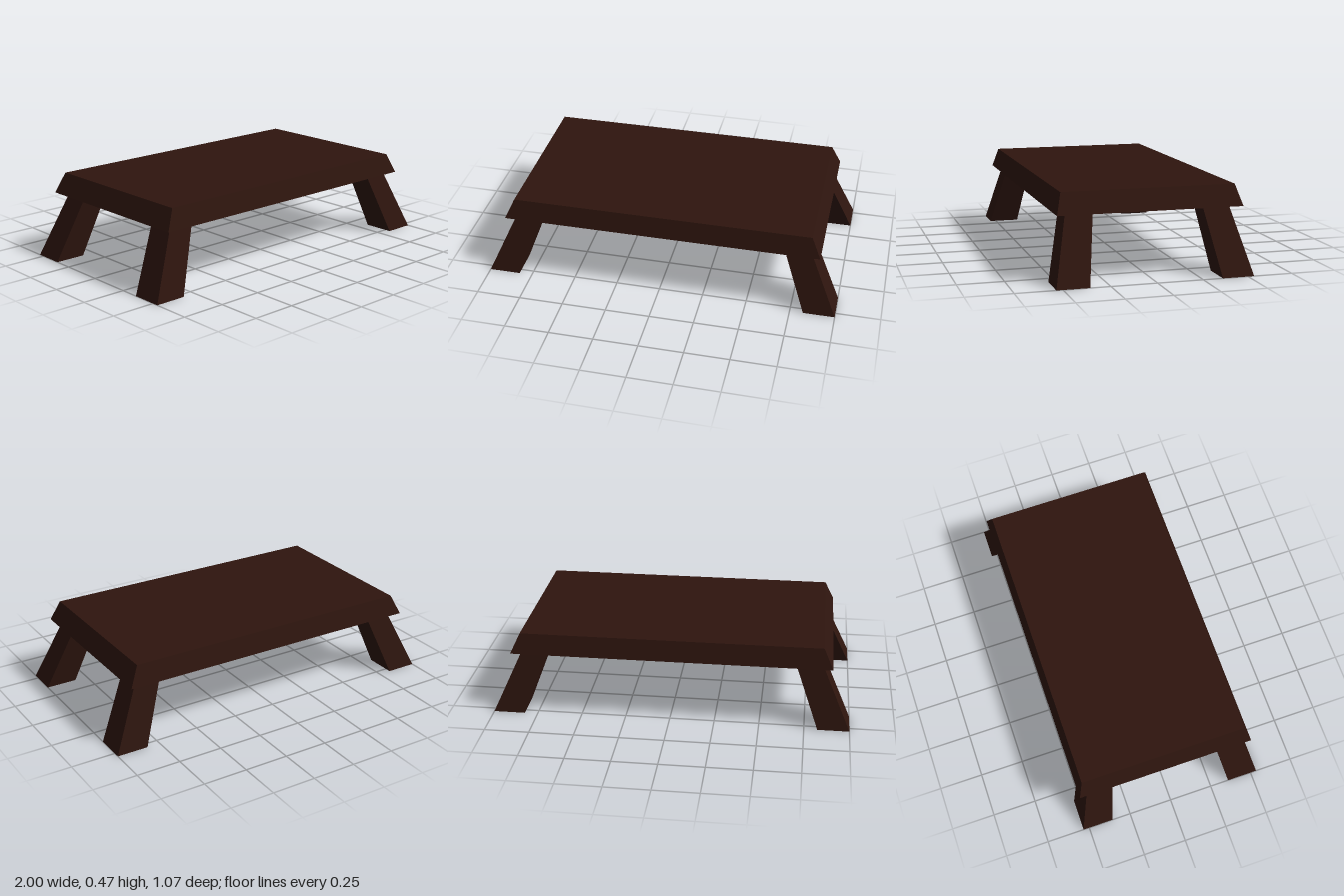
import * as THREE from 'three';

const wood = new THREE.MeshStandardMaterial({ color: 0x2e150e, flatShading: true });

// Straight-sided block between two horizontal rectangles: { x, y, z, w, d } = centre, height, width, depth
function taperedBlock(name, bottom, top) {
  const geometry = new THREE.BoxGeometry(1, 1, 1);
  const p = geometry.attributes.position;
  for (let i = 0; i < p.count; i++) {
    const end = p.getY(i) > 0 ? top : bottom;
    p.setXYZ(i, end.x + p.getX(i) * end.w, end.y, end.z + p.getZ(i) * end.d);
  }
  geometry.computeVertexNormals();
  const mesh = new THREE.Mesh(geometry, wood);
  mesh.name = name;
  return mesh;
}

export function createModel() {
  const table = new THREE.Group();
  table.name = 'lowTable';

  // Bevelled slab, wider at its lower edge
  table.add(taperedBlock('tabletop',
    { x: 0, y: 0.357, z: -0.004, w: 1.786, d: 1.014 },
    { x: 0, y: 0.47, z: -0.004, w: 1.68, d: 0.952 }));

  // Four splayed legs, thicker at the feet
  for (const [side, sx] of [['Left', 1], ['Right', -1]]) {
    for (const [end, sz] of [['front', 1], ['back', -1]]) {
      table.add(taperedBlock(`${end}${side}Leg`,
        { x: sx * 0.912, y: 0, z: sz * 0.447, w: 0.176, d: 0.176 },
        { x: sx * 0.764, y: 0.358, z: sz * 0.375, w: 0.148, d: 0.148 }));
    }
  }
  return table;
}
